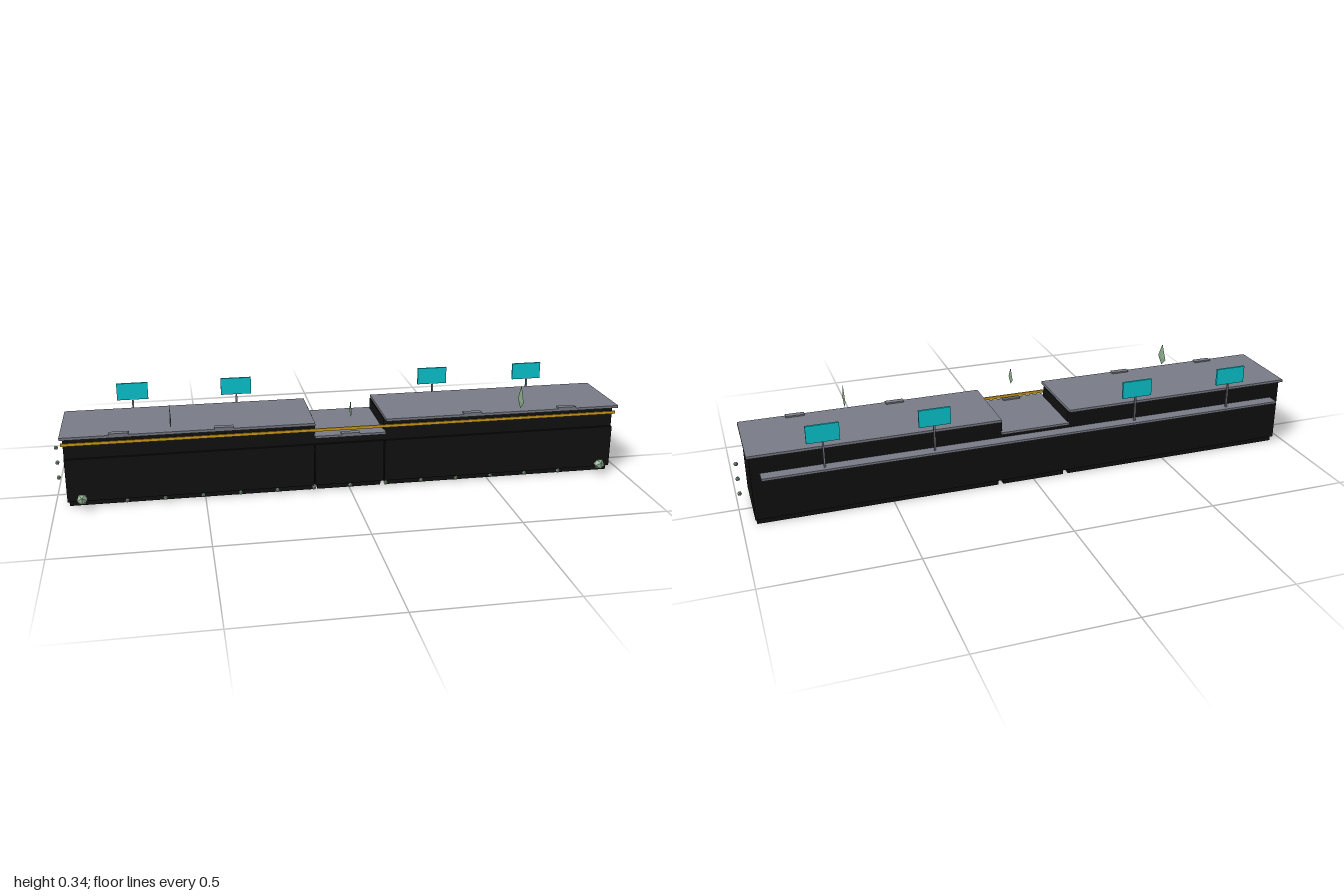
import * as THREE from 'three';

const mat = (name, color) => {
  const m = new THREE.MeshStandardMaterial({ color });
  m.name = name;
  return m;
};

export function createModel() {
  const black = mat('black cabinet', 0x111111);
  const grey = mat('grey counter', 0x7a7e88);
  const gold = mat('gold trim', 0xd4a017);
  const cyan = mat('cyan screen', 0x08ced8);
  const green = mat('sage crystal', 0x8fb08f);
  green.flatShading = true;

  const model = new THREE.Group();
  model.name = 'counter';

  const add = (name, geo, material, x = 0, y = 0, z = 0) => {
    const mesh = new THREE.Mesh(geo, material);
    mesh.name = name;
    mesh.position.set(x, y, z);
    model.add(mesh);
    return mesh;
  };
  // Box given by its lower and upper limits on each axis
  const box = (name, material, [x0, x1], [y0, y1], [z0, z1]) =>
    add(name, new THREE.BoxGeometry(x1 - x0, y1 - y0, z1 - z0), material,
      (x0 + x1) / 2, (y0 + y1) / 2, (z0 + z1) / 2);

  // Two long cabinets with overhanging tops
  for (const s of [-1, 1]) {
    const span = (a, b) => (s > 0 ? [a, b] : [-b, -a]);
    box('cabinetBody', black, span(0.119, 0.958), [0.02, 0.246], [-0.127, 0.11]);
    box('frontPanel', black, span(0.124, 0.958), [0.02, 0.17], [0.11, 0.12]);
    box('plinth', black, span(0.13, 0.953), [0, 0.02], [-0.117, 0.105]);
    box('counterTop', grey, span(0.123, 0.966), [0.246, 0.255], [-0.14, 0.14]);
  }

  // Lower counter in the middle
  box('middleBody', black, [-0.119, 0.119], [0.02, 0.2], [-0.127, 0.11]);
  box('middlePanel', black, [-0.121, 0.121], [0.02, 0.17], [0.11, 0.12]);
  box('middlePlinth', black, [-0.112, 0.112], [0, 0.02], [-0.117, 0.105]);
  box('middleTop', grey, [-0.123, 0.123], [0.2, 0.208], [-0.14, 0.14]);

  // Trim along the front and shelf along the back
  box('goldTrim', gold, [-0.964, 0.964], [0.219, 0.229], [0.119, 0.124]);
  box('backShelf', grey, [-0.928, 0.928], [0.177, 0.185], [-0.17, -0.127]);

  // Small trays on the front edge
  for (const x of [-0.775, -0.43, 0, 0.43, 0.775]) {
    const y = x === 0 ? 0.208 : 0.255;
    box('tray', grey, [x - 0.032, x + 0.032], [y, y + 0.005], [0.119, 0.14]);
  }

  // Screens on posts
  for (const x of [-0.73, -0.365, 0.36, 0.725]) {
    box('screenPost', grey, [x - 0.003, x + 0.003], [0.185, 0.28], [-0.153, -0.147]);
    box('screen', cyan, [x - 0.054, x + 0.054], [0.28, 0.34], [-0.163, -0.155]);
  }

  // Thin kite-shaped crystals, wider below the middle
  const crystal = (x, y, size) => {
    const geo = new THREE.OctahedronGeometry(1, 0);
    const p = geo.attributes.position;
    for (let i = 0; i < p.count; i++) {
      const up = p.getY(i);
      p.setXYZ(i, p.getX(i) * 0.003 * size, up * (up > 0 ? 0.055 : 0.028) * size, p.getZ(i) * 0.03 * size);
    }
    geo.computeVertexNormals();
    add('crystal', geo, green, x, y, 0.13);
  };
  crystal(-0.605, 0.29, 1);
  crystal(0.605, 0.29, 1);
  crystal(0, 0.287, 0.75);

  // Round stones on the ends, corners and along the foot
  const stone = (name, r, x, y, z) => add(name, new THREE.IcosahedronGeometry(r, 0), green, x, y, z);
  for (const s of [-1, 1]) {
    for (const y of [0.062, 0.117, 0.171]) stone('endStone', 0.008, s * 0.992, y, -0.005);
    stone('cornerStone', 0.02, s * 0.907, 0.04, 0.153);
  }
  for (let i = -6; i <= 6; i++) stone('footStone', 0.008, i * 0.127, 0.015, 0.126);

  return model;
}
